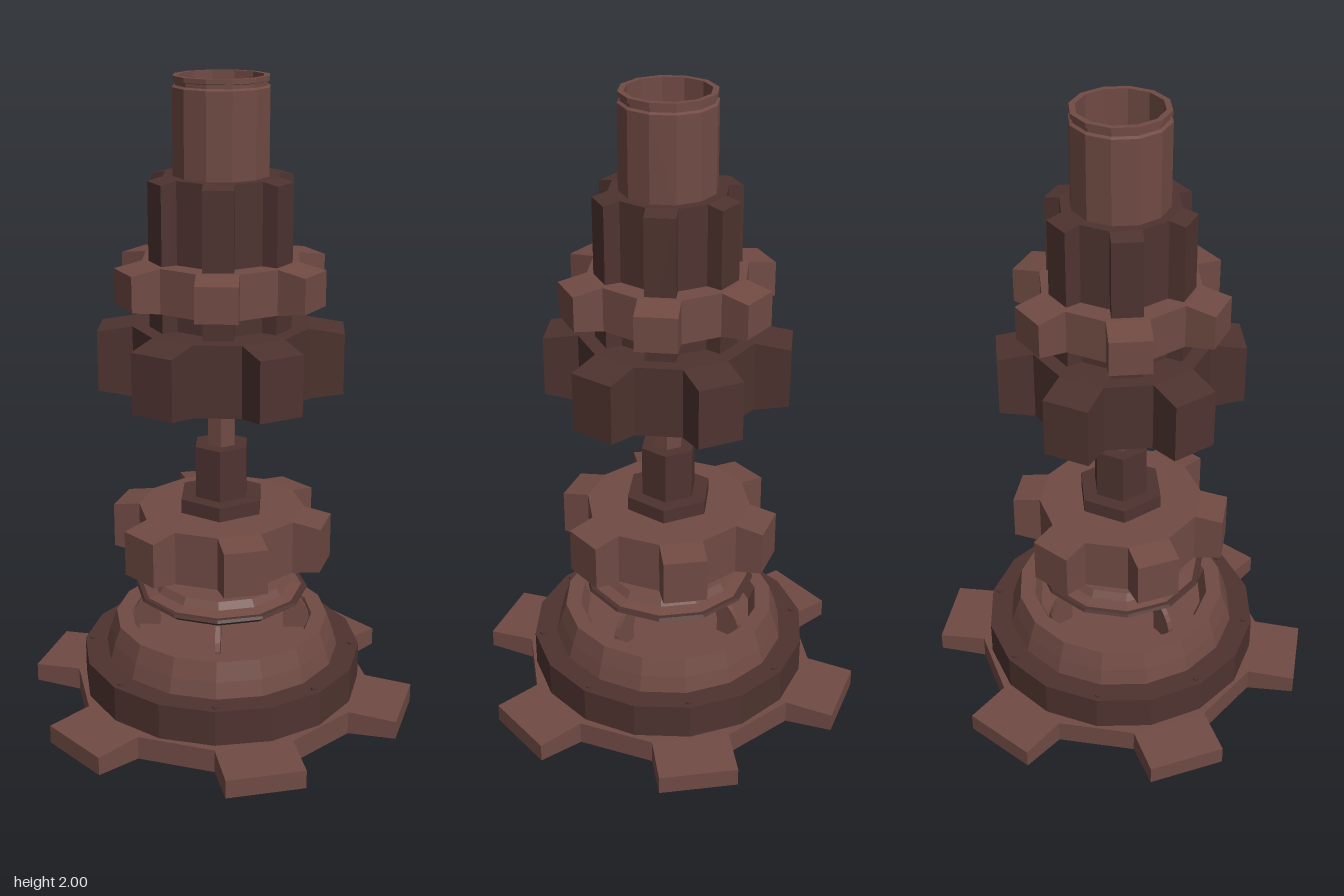
import * as THREE from 'three';

const material = (color) => new THREE.MeshStandardMaterial({ color, flatShading: true });
const LIGHT = material(0x704a43);
const DARK = material(0x4e332f);
const STEP = Math.PI / 12; // 15 degrees

function add(parent, name, geometry, mat) {
  const mesh = new THREE.Mesh(geometry, mat);
  mesh.name = name;
  parent.add(mesh);
  return mesh;
}

function prism(parent, name, radius, y0, y1, sides, mat) {
  const mesh = add(parent, name, new THREE.CylinderGeometry(radius, radius, y1 - y0, sides), mat);
  mesh.position.y = (y0 + y1) / 2;
  return mesh;
}

function lathe(parent, name, profile, sides, mat) {
  const points = profile.map(([r, y]) => new THREE.Vector2(r, y));
  return add(parent, name, new THREE.LatheGeometry(points, sides), mat);
}

// Twelve-sided body with a tooth on every second face; tooth ends are slightly shorter than their roots
function gear(parent, name, { radius, outer, y0, y1, inset, turn, mat }) {
  const group = new THREE.Group();
  group.name = name;
  group.rotation.y = turn;
  parent.add(group);
  prism(group, name + 'Body', radius, y0, y1, 12, mat);

  const inner = radius * Math.cos(STEP);
  const width = 2 * radius * Math.sin(STEP);
  const height = y1 - y0;
  const tooth = new THREE.BoxGeometry(outer - inner, height, width);
  tooth.translate((outer + inner) / 2, 0, 0);
  const pos = tooth.attributes.position;
  for (let i = 0; i < pos.count; i++) {
    if (pos.getX(i) > (outer + inner) / 2) pos.setY(i, pos.getY(i) - Math.sign(pos.getY(i)) * inset);
  }
  for (let k = 0; k < 6; k++) {
    const mesh = add(group, name + 'Tooth', tooth, mat);
    mesh.position.y = (y0 + y1) / 2;
    mesh.rotation.y = -STEP + (k * Math.PI) / 3;
  }
}

export function createModel() {
  const model = new THREE.Group();
  model.name = 'gearTower';

  // Base gear, bolted ring and dome
  gear(model, 'baseGear', { radius: 0.47, outer: 0.605, y0: 0, y1: 0.075, inset: 0.008, turn: 0, mat: LIGHT });
  prism(model, 'baseRing', 0.445, 0.07, 0.19, 16, DARK);
  for (let k = 0; k < 8; k++) {
    const a = (k * Math.PI) / 4;
    const bolt = prism(model, 'bolt', 0.01, 0.18, 0.196, 8, DARK);
    bolt.position.x = 0.42 * Math.cos(a);
    bolt.position.z = 0.42 * Math.sin(a);
  }
  lathe(model, 'dome', [
    [0.375, 0.185], [0.36, 0.24], [0.34, 0.298], [0.29, 0.298], [0.27, 0.25], [0, 0.25],
  ], 16, LIGHT);

  // Four thin curved fins carrying the flange
  const finShape = new THREE.Shape();
  finShape.moveTo(0.285, 0.25);
  finShape.lineTo(0.28, 0.3);
  finShape.quadraticCurveTo(0.265, 0.35, 0.21, 0.38);
  finShape.lineTo(0.15, 0.38);
  finShape.quadraticCurveTo(0.19, 0.355, 0.2, 0.3);
  finShape.lineTo(0.2, 0.25);
  const finGeometry = new THREE.ExtrudeGeometry(finShape, { depth: 0.016, bevelEnabled: false, curveSegments: 4 });
  finGeometry.translate(0, 0, -0.008);
  for (let k = 0; k < 4; k++) {
    add(model, 'fin', finGeometry, LIGHT).rotation.y = (k * Math.PI) / 2;
  }

  // Flange: dark rim below a light cap
  lathe(model, 'flangeRim', [
    [0, 0.375], [0.25, 0.375], [0.275, 0.393], [0.27, 0.402], [0.2, 0.402],
  ], 12, DARK);
  lathe(model, 'flangeCap', [[0.265, 0.4], [0.22, 0.41], [0.205, 0.432], [0, 0.432]], 12, LIGHT);

  // Lower gear on its collars and stepped hexagonal shaft
  prism(model, 'lowerCollar', 0.113, 0.43, 0.51, 12, LIGHT);
  gear(model, 'lowerGear', { radius: 0.26, outer: 0.338, y0: 0.5, y1: 0.67, inset: 0.014, turn: 0, mat: LIGHT });
  prism(model, 'hexCollar', 0.14, 0.66, 0.715, 6, DARK);
  prism(model, 'hexPillar', 0.09, 0.7, 0.88, 6, DARK);
  prism(model, 'thinShaft', 0.047, 0.87, 1.06, 6, LIGHT);

  // Upper stack of gears
  gear(model, 'wideGear', { radius: 0.272, outer: 0.37, y0: 1.05, y1: 1.27, inset: 0.017, turn: STEP, mat: DARK });
  gear(model, 'longGear', { radius: 0.175, outer: 0.218, y0: 1.26, y1: 1.715, inset: 0.01, turn: 3 * STEP, mat: DARK });
  gear(model, 'middleGear', { radius: 0.24, outer: 0.322, y0: 1.335, y1: 1.47, inset: 0.014, turn: 3 * STEP, mat: LIGHT });

  // Hollow tube with a grooved lip
  lathe(model, 'topTube', [
    [0.145, 1.7], [0.145, 1.968], [0.136, 1.973], [0.136, 1.984], [0.143, 1.986],
    [0.143, 2], [0.125, 2], [0.125, 1.72], [0, 1.72],
  ], 12, LIGHT).rotation.y = STEP;

  return model;
}
